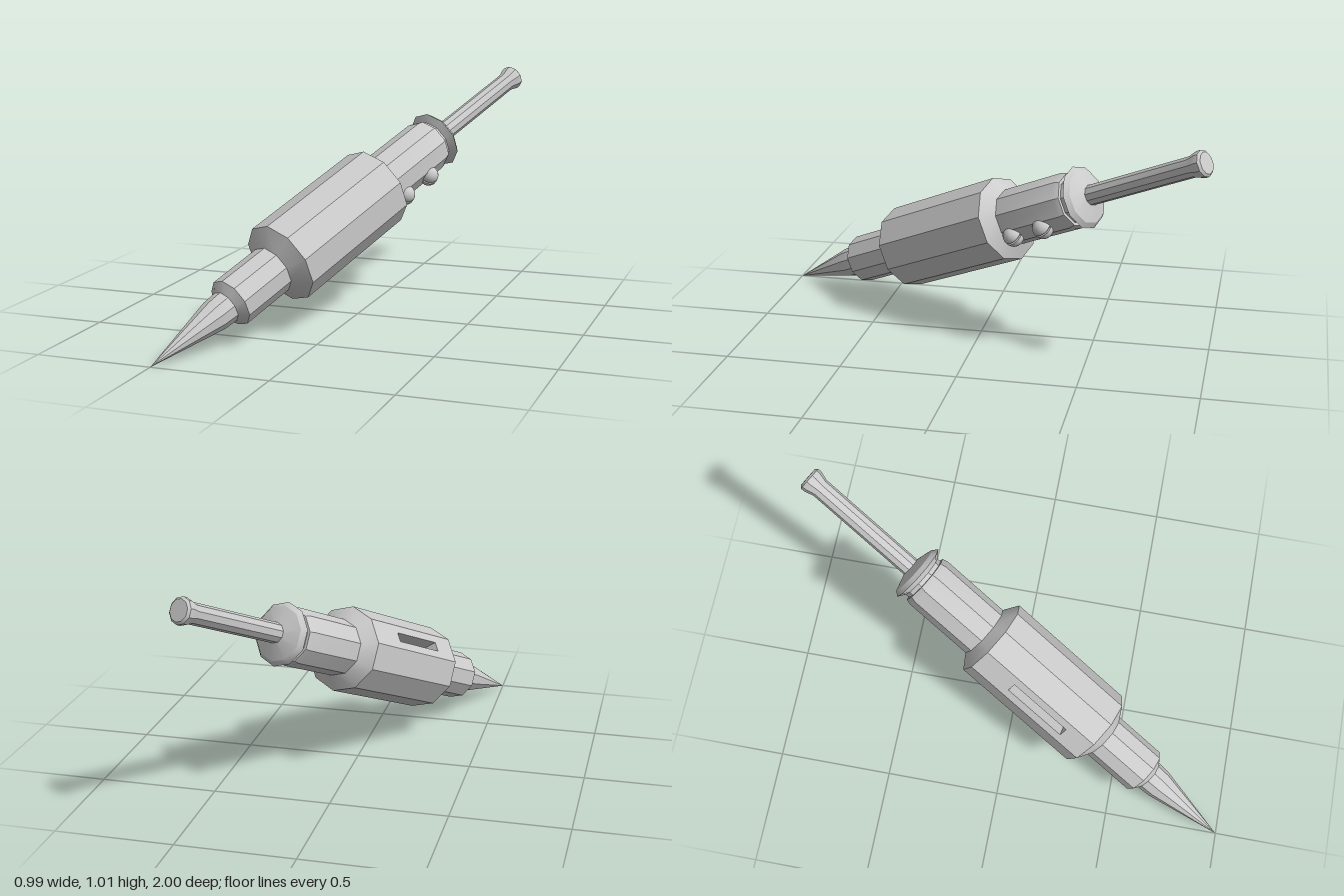
import * as THREE from 'three';
import { toCreasedNormals } from 'three/addons/utils/BufferGeometryUtils.js';

const SIDES = 10;
const STEP = (Math.PI * 2) / SIDES;
const BODY_R = 0.184, BODY_START = 0.745, BODY_END = 1.357;
const mat = new THREE.MeshStandardMaterial({ color: 0xcccccc });
const thinMat = new THREE.MeshStandardMaterial({ color: 0xcccccc, side: THREE.DoubleSide });
const insideMat = new THREE.MeshStandardMaterial({ color: 0xcccccc, side: THREE.BackSide });

function add(parent, name, geometry, material = mat) {
  const mesh = new THREE.Mesh(geometry, material);
  mesh.name = name;
  parent.add(mesh);
  return mesh;
}

// Ten-sided turned part; profile is [radius, distance from the tip]
function turned(profile, segments = SIDES, start = 0) {
  const points = profile.map(([r, t]) => new THREE.Vector2(r, t));
  const lathe = new THREE.LatheGeometry(points, segments, start, segments * STEP);
  return toCreasedNormals(lathe, THREE.MathUtils.degToRad(28));
}

// Domed screw head split by a narrow slot, facing local +x
function screw(t) {
  const head = new THREE.Group();
  head.name = 'screw';
  const r = 0.042, gap = 0.004;
  for (const side of [1, -1]) {
    const half = new THREE.Group();
    add(half, 'screwHalf', new THREE.SphereGeometry(r, 10, 12, 0, Math.PI));
    add(half, 'slotWall', new THREE.CircleGeometry(r, 20), thinMat);
    half.rotation.y = side > 0 ? 0 : Math.PI;
    half.position.z = side * gap;
    head.add(half);
  }
  const core = add(head, 'slotFloor', new THREE.SphereGeometry(r * 0.75, 12, 8));
  core.scale.z = 0.5;
  head.position.set(0.117, t, 0);
  return head;
}

export function createModel() {
  const model = new THREE.Group();
  model.name = 'pointedTool';
  const tool = new THREE.Group();
  tool.name = 'tool';
  model.add(tool);

  // Needle and front neck
  add(tool, 'needle', turned([[0, 0], [0.068, 0.355], [0.071, 0.42]]));
  add(tool, 'frontNeck', turned([[0.065, 0.415], [0.108, 0.448], [0.108, 0.71]]));

  // Main body: bevelled ends, nine plain faces and one face with a slot
  add(tool, 'bodyFrontBevel', turned([[0.1, 0.69], [BODY_R, BODY_START]]));
  add(tool, 'bodyRearBevel', turned([[BODY_R, BODY_END], [0.115, 1.403]]));
  add(tool, 'bodySides', turned([[BODY_R, BODY_START], [BODY_R, BODY_END]], SIDES - 1, 8 * STEP));

  const half = BODY_R * Math.sin(STEP / 2), apothem = BODY_R * Math.cos(STEP / 2);
  const slotHalf = 0.021, slotStart = 0.875, slotEnd = 1.175, depth = 0.06;
  const rect = (Type, w, y0, y1) => new Type([
    new THREE.Vector2(-w, y0), new THREE.Vector2(w, y0),
    new THREE.Vector2(w, y1), new THREE.Vector2(-w, y1),
  ]);
  const panel = rect(THREE.Shape, half, BODY_START, BODY_END);
  panel.holes.push(rect(THREE.Path, slotHalf, slotStart, slotEnd));
  const face = add(tool, 'slottedFace', new THREE.ShapeGeometry(panel));
  face.rotation.y = -Math.PI / 2;
  face.position.x = -apothem;
  const recess = add(tool, 'slotRecess',
    new THREE.BoxGeometry(depth, slotEnd - slotStart, slotHalf * 2), insideMat);
  recess.position.set(-apothem + depth / 2, (slotStart + slotEnd) / 2, 0);

  // Rear barrel, its collar and the flared flange
  add(tool, 'rearBarrel', turned([[0.122, 1.38], [0.122, 1.715], [0.115, 1.74], [0.1, 1.74]]));
  add(tool, 'collar', turned([[0.102, 1.73], [0.102, 1.762]]));
  add(tool, 'flange', turned([[0.1, 1.757], [0.1335, 1.78], [0.115, 1.8], [0.03, 1.825]]));

  // Rod with a flared end
  add(tool, 'rod', turned([[0.043, 1.8], [0.043, 2.325], [0.055, 2.365], [0.055, 2.383], [0.045, 2.392], [0, 2.392]]));

  // Screws on the barrel, opposite the slot
  for (const t of [1.435, 1.6]) tool.add(screw(t));

  // Tilt the tool so that its axis runs from the low front tip to the high rear end
  const axis = new THREE.Vector3(0.395, 0.402, -0.826).normalize();
  const out = new THREE.Vector3(0.82, -0.56, 0.12);
  out.addScaledVector(axis, -out.dot(axis)).normalize();
  const across = new THREE.Vector3().crossVectors(out, axis);
  tool.quaternion.setFromRotationMatrix(new THREE.Matrix4().makeBasis(out, axis, across));
  tool.position.set(-0.5, 0, 1);
  return model;
}
